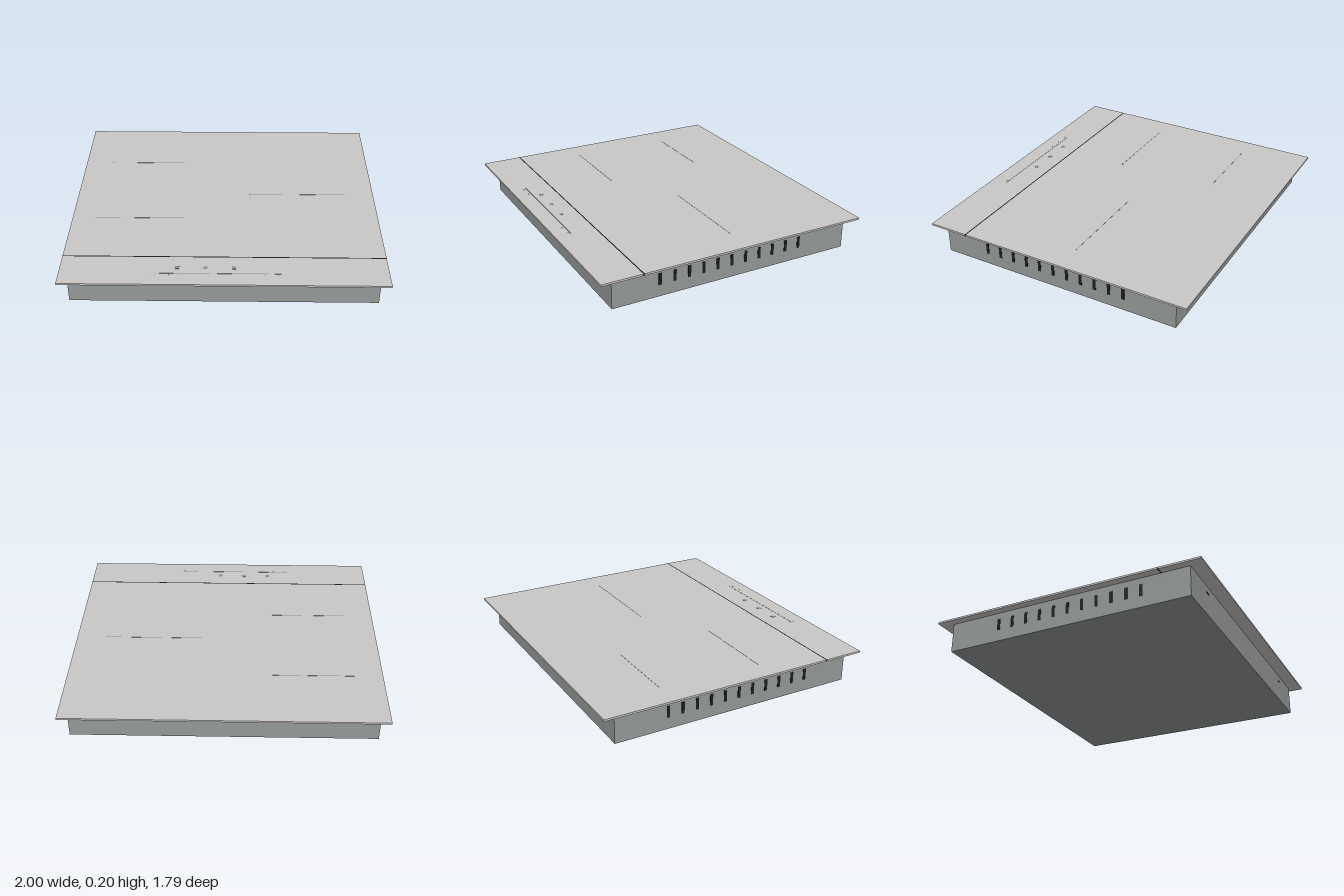
import * as THREE from 'three';

const mat = (name, color) => {
  const m = new THREE.MeshStandardMaterial({ color });
  m.name = name;
  return m;
};

export function createModel() {
  const glass = mat('pale grey glass', 0xcac8c5);
  const metal = mat('grey steel', 0x939896);
  const dark = mat('black', 0x1a1d1c);
  const print = mat('grey print', 0x8c8c8a);

  const model = new THREE.Group();
  model.name = 'cooktop';

  const box = (name, material, w, h, d, x, y, z) => {
    const mesh = new THREE.Mesh(new THREE.BoxGeometry(w, h, d), material);
    mesh.name = name;
    mesh.position.set(x, y, z);
    model.add(mesh);
    return mesh;
  };

  // Sunken housing
  box('housing', metal, 1.9, 0.192, 1.62, 0, 0.096, 0);

  // Glass plate in two panels, with a black joint between them
  const bottom = 0.192, top = 0.204, edge = 0.895, joint = 0.63, gap = 0.008;
  const panel = (name, material, z0, z1) =>
    box(name, material, 2, top - bottom, z1 - z0, 0, (top + bottom) / 2, (z0 + z1) / 2);
  panel('cookingPanel', glass, -edge, joint - gap / 2);
  panel('panelJoint', dark, joint - gap / 2, joint + gap / 2);
  panel('controlPanel', glass, joint + gap / 2, edge);

  // Vent slots along both sides
  for (const side of [-1, 1]) {
    for (let i = 0; i < 11; i++) {
      box('ventSlot', dark, 0.004, 0.075, 0.02, side * 0.95, 0.113, 0.502 - i * 0.0967);
    }
    // Small slot in the front wall
    box('frontSlot', dark, 0.034, 0.01, 0.004, side * 0.69, 0.148, 0.81);
  }

  // Thin marks printed on the glass
  const mark = (name, x0, x1, z, depth) =>
    box(name, print, x1 - x0, 0.002, depth, (x0 + x1) / 2, top, z);
  mark('backLeftZoneLine', -0.82, -0.3, -0.452, 0.003);
  mark('frontLeftZoneLine', -0.85, -0.26, 0.222, 0.003);
  mark('rightZoneLine', 0.16, 0.81, -0.06, 0.003);
  mark('sliderLine', -0.435, 0.345, 0.79, 0.003);
  for (const x of [-0.285, -0.112, 0.06]) mark('touchKey', x - 0.0125, x + 0.0125, 0.735, 0.025);
  for (const x of [-0.418, -0.333, -0.252, 0.245, 0.327]) mark('sliderTick', x - 0.0015, x + 0.0015, 0.805, 0.015);

  return model;
}
